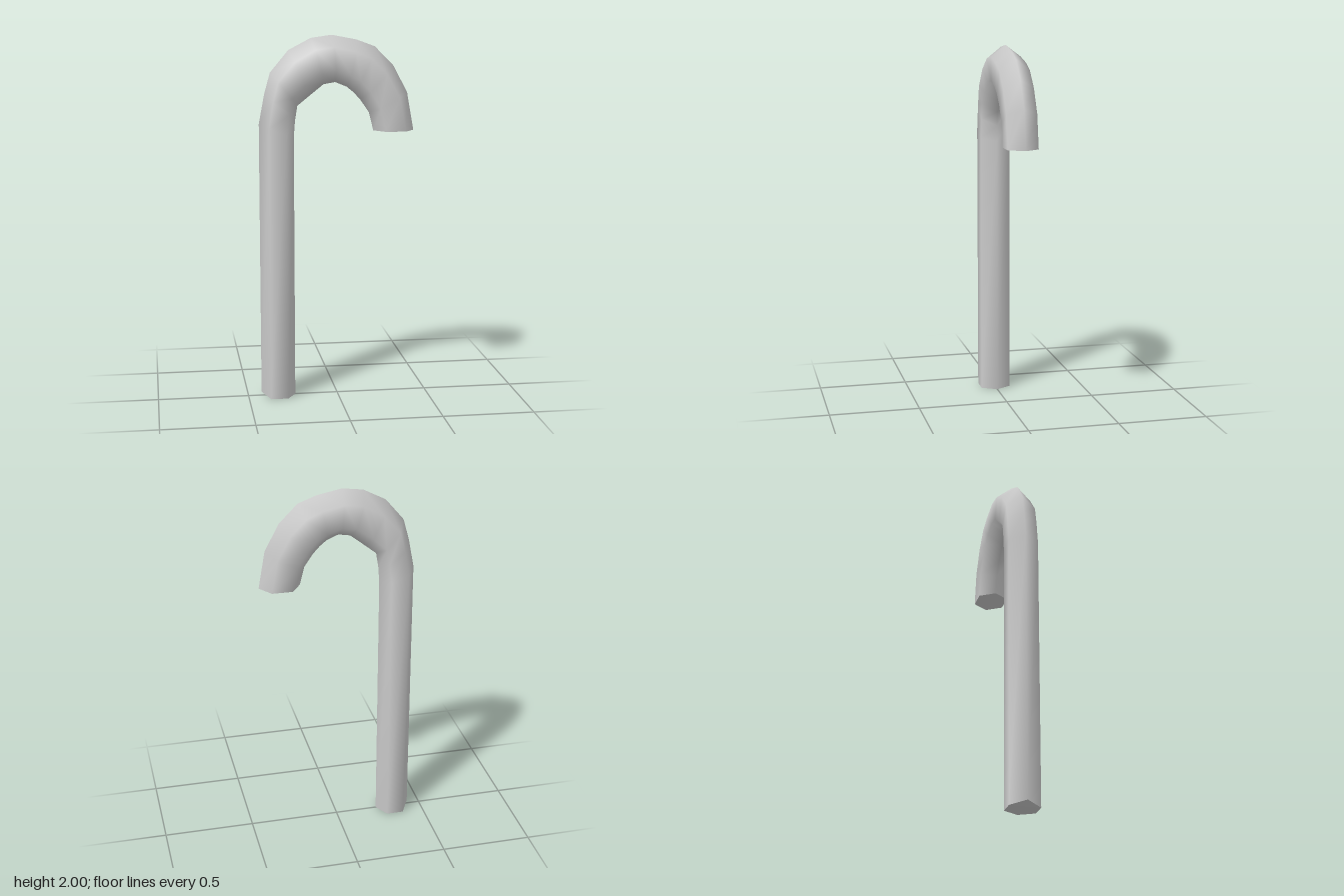
import * as THREE from 'three';

const HALF_DEPTH = 0.083;

// Cross-sections along the cane: outer edge (x, y), inner edge (x, y)
const sections = [
  [-0.427, 0.02, -0.237, 0],
  [-0.427, 1.524, -0.237, 1.45],
  [-0.397, 1.683, -0.23, 1.54],
  [-0.365, 1.80, -0.217, 1.62],
  [-0.265, 1.92, -0.153, 1.672],
  [-0.143, 1.984, -0.074, 1.735],
  [-0.03, 2.0, -0.01, 1.746],
  [0.106, 1.974, 0.053, 1.72],
  [0.206, 1.937, 0.09, 1.69],
  [0.307, 1.836, 0.127, 1.65],
  [0.386, 1.688, 0.175, 1.58],
  [0.423, 1.48, 0.20, 1.48],
];

// Six corners of a section: fraction from outer to inner edge, side in z
const corners = [[0, 0], [0.25, 1], [0.75, 1], [1, 0], [0.75, -1], [0.25, -1]];

function ring([ox, oy, ix, iy], flatFoot) {
  return corners.map(([t, side]) => new THREE.Vector3(
    ox + (ix - ox) * t,
    flatFoot && t > 0 ? 0 : oy + (iy - oy) * t,
    side * HALF_DEPTH));
}

// Flat end face, fanned from the second corner
function capGeometry(points, reversed) {
  const p = [];
  for (const [a, b, c] of [[1, 2, 3], [1, 3, 4], [1, 4, 5], [1, 5, 0]]) {
    p.push(points[a], ...(reversed ? [points[c], points[b]] : [points[b], points[c]]));
  }
  const g = new THREE.BufferGeometry().setFromPoints(p);
  g.computeVertexNormals();
  return g;
}

export function createModel() {
  const group = new THREE.Group();
  group.name = 'hookedCane';
  const material = new THREE.MeshStandardMaterial({ color: 0xcccccc });
  const add = (name, geometry) => {
    const mesh = new THREE.Mesh(geometry, material);
    mesh.name = name;
    group.add(mesh);
  };

  // Smooth six-sided shaft and hook
  const rings = sections.map((s, i) => ring(s, i === 0));
  const index = [];
  for (let i = 0; i < rings.length - 1; i++) {
    for (let k = 0; k < 6; k++) {
      const n = (k + 1) % 6;
      const a = i * 6 + k, b = i * 6 + n;
      index.push(a, b, b + 6, a, b + 6, a + 6);
    }
  }
  const body = new THREE.BufferGeometry().setFromPoints(rings.flat());
  body.setIndex(index);
  body.computeVertexNormals();
  add('shaftAndHook', body);

  // End faces
  add('footCap', capGeometry(rings[0], true));
  add('hookCap', capGeometry(rings[rings.length - 1], false));
  return group;
}
